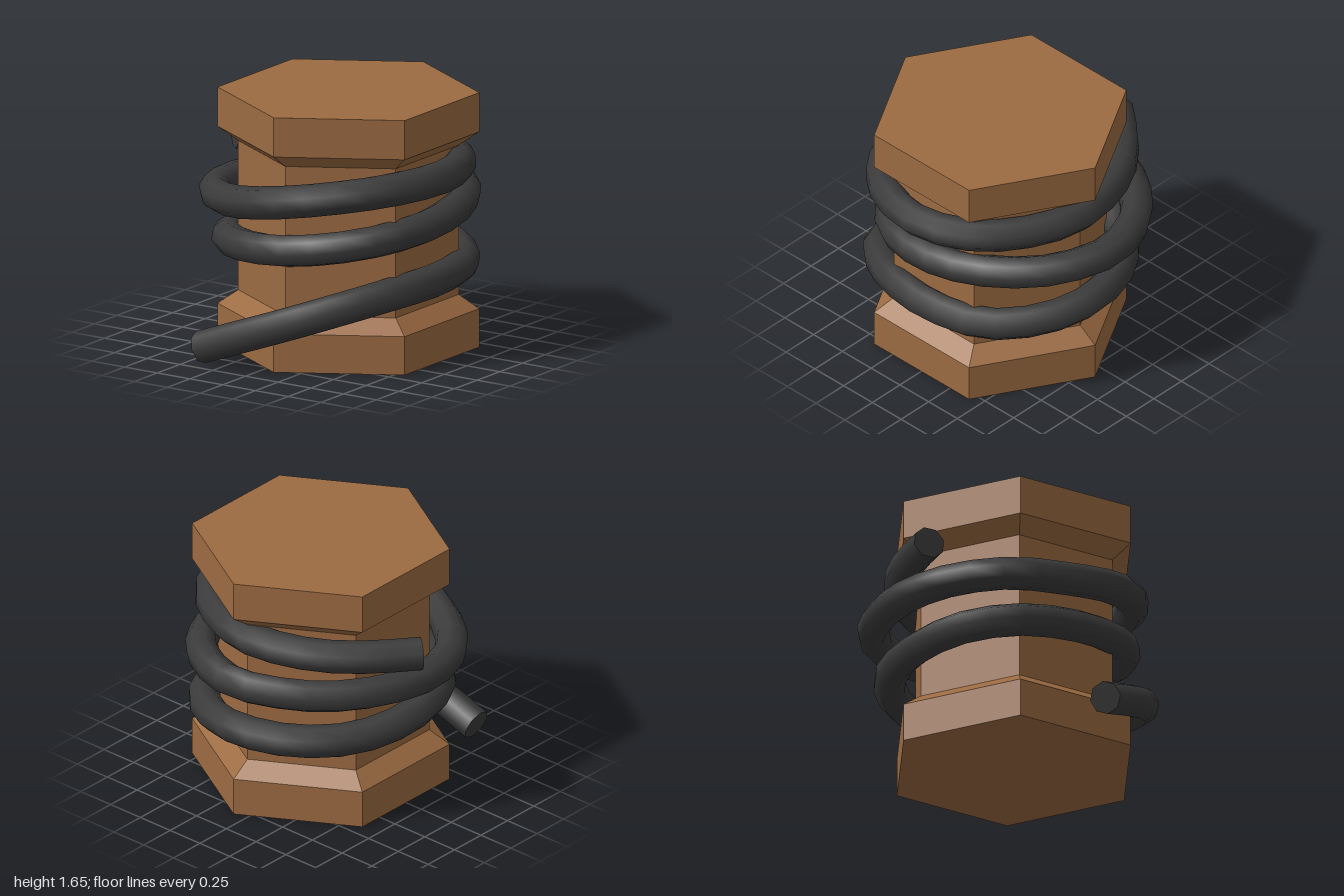
import * as THREE from 'three';

const wood = new THREE.MeshStandardMaterial({ color: 0x9c6b42 });
wood.name = 'wood';
const rubber = new THREE.MeshStandardMaterial({ color: 0x3b3b3b });
rubber.name = 'dark rope';

// Hexagonal post with flared base and cap
function makePost() {
  const profile = [
    [0, 0], [0.825, 0], [0.825, 0.25], [0.695, 0.34],
    [0.695, 1.31], [0.825, 1.4], [0.825, 1.655], [0, 1.655],
  ].map(([r, y]) => new THREE.Vector2(r, y));
  const geometry = new THREE.LatheGeometry(profile, 6).toNonIndexed();
  geometry.computeVertexNormals();
  const post = new THREE.Mesh(geometry, wood);
  post.name = 'hexagonalPost';
  post.position.set(0.092, 0, -0.003);
  return post;
}

// Rope wound three times around the post, with flat cut ends
function makeRope() {
  const points = [
    // loose lower end and first turn
    [-0.41, 0.105, 0.9], [-0.1, 0.22, 0.89], [0.2, 0.33, 0.84], [0.46, 0.425, 0.7],
    [0.68, 0.5, 0.4], [0.765, 0.525, 0], [0.68, 0.535, -0.42], [0.42, 0.57, -0.69],
    [0.08, 0.6, -0.79], [-0.3, 0.61, -0.68], [-0.57, 0.62, -0.4], [-0.68, 0.66, 0],
    // second turn
    [-0.58, 0.69, 0.36], [-0.3, 0.72, 0.6], [0.08, 0.76, 0.7], [0.42, 0.81, 0.61],
    [0.67, 0.86, 0.36], [0.76, 0.9, 0], [0.69, 0.95, -0.4], [0.42, 0.98, -0.74],
    [0.04, 1.0, -0.895], [-0.25, 1.0, -0.82], [-0.48, 0.98, -0.64], [-0.67, 0.97, -0.37],
    [-0.77, 0.96, 0],
    // third turn and loose upper end
    [-0.68, 0.97, 0.36], [-0.38, 1.0, 0.62], [0.05, 1.08, 0.75], [0.42, 1.145, 0.67],
    [0.72, 1.19, 0.4], [0.835, 1.21, 0], [0.7, 1.21, -0.36], [0.42, 1.21, -0.59],
    [0.09, 1.21, -0.69], [-0.34, 1.21, -0.59], [-0.62, 1.21, -0.39], [-0.855, 1.21, -0.115],
  ].map((p) => new THREE.Vector3(...p));
  const curve = new THREE.CatmullRomCurve3(points);
  const radius = 0.105, sides = 8, segments = 72;
  const tube = new THREE.TubeGeometry(curve, segments, radius, sides);

  const rope = new THREE.Group();
  rope.name = 'rope';
  const coil = new THREE.Mesh(tube, rubber);
  coil.name = 'ropeCoil';
  rope.add(coil);

  // Caps share the rim vertices of the tube
  const addCap = (ring, t, name) => {
    const centre = curve.getPointAt(t);
    const position = [];
    const rim = (j) => new THREE.Vector3().fromBufferAttribute(
      tube.attributes.position, ring * (sides + 1) + j);
    const outward = curve.getTangentAt(t).multiplyScalar(t === 0 ? -1 : 1);
    for (let j = 0; j < sides; j++) {
      let a = rim(j), b = rim(j + 1);
      const n = a.clone().sub(centre).cross(b.clone().sub(centre));
      if (n.dot(outward) < 0) [a, b] = [b, a];
      for (const v of [centre, a, b]) position.push(v.x, v.y, v.z);
    }
    const geometry = new THREE.BufferGeometry();
    geometry.setAttribute('position', new THREE.Float32BufferAttribute(position, 3));
    geometry.computeVertexNormals();
    const cap = new THREE.Mesh(geometry, rubber);
    cap.name = name;
    rope.add(cap);
  };
  addCap(0, 0, 'lowerRopeEnd');
  addCap(segments, 1, 'upperRopeEnd');
  return rope;
}

export function createModel() {
  const model = new THREE.Group();
  model.name = 'ropeWrappedPost';
  model.add(makePost(), makeRope());
  return model;
}
